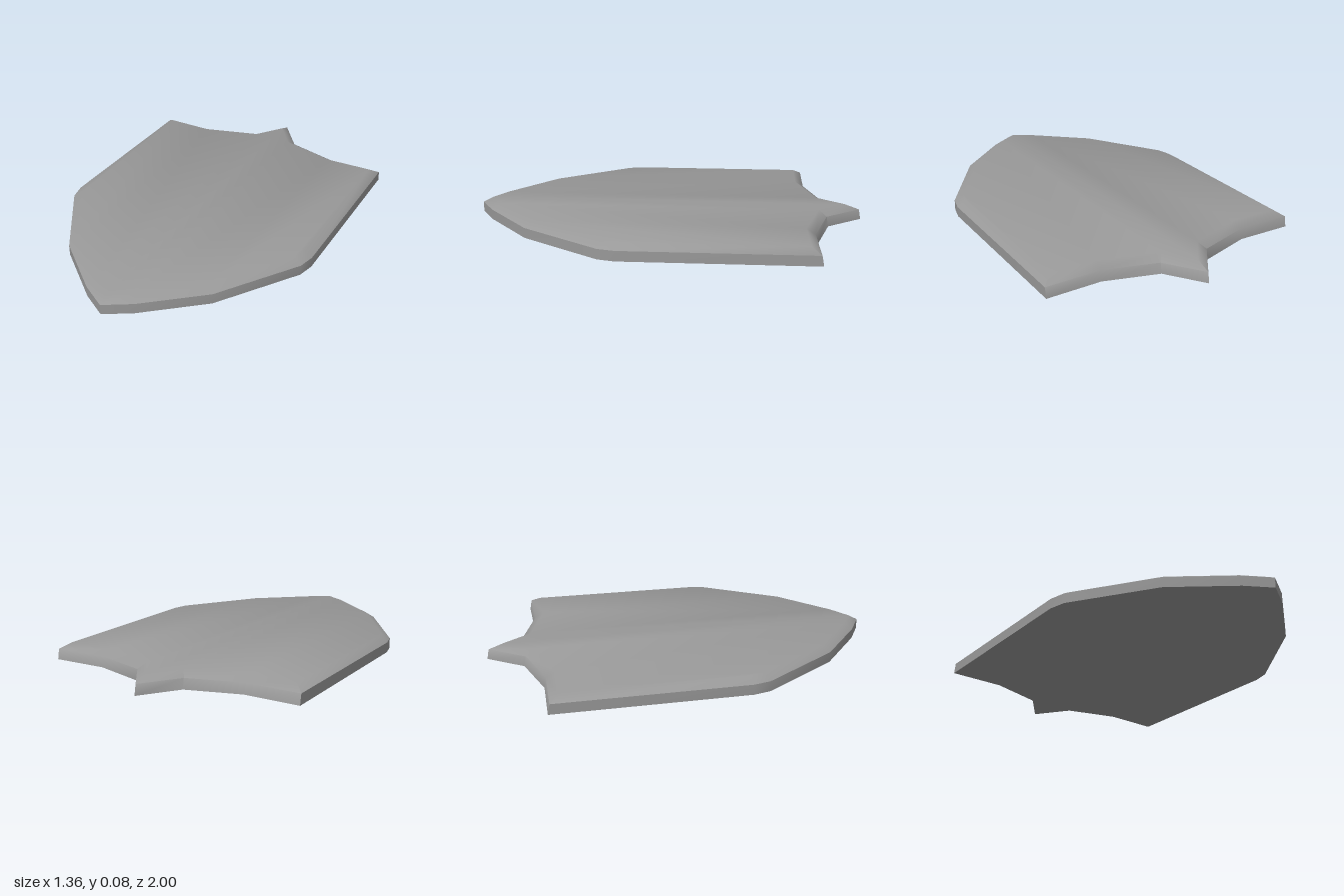
import * as THREE from 'three';
import { toCreasedNormals } from 'three/addons/utils/BufferGeometryUtils.js';

// Half outline as [x, z], from the front tip round the left side to the back spike
const HALF = [
  [0, 1], [0.13, 0.92], [0.4, 0.69], [0.66, 0.295], [0.68, 0.21],
  [0.68, -0.745], [0.4, -0.74], [0.13, -0.82], [0, -1],
];
const BEVEL = 0.045, EDGE_Y = 0.052, TOP_Y = 0.08;

// Mitred inward offset of a closed counter-clockwise outline
function inset(points, d) {
  const n = points.length;
  return points.map((p, i) => {
    const a = p.clone().sub(points[(i + n - 1) % n]).normalize();
    const b = points[(i + 1) % n].clone().sub(p).normalize();
    const na = new THREE.Vector2(-a.y, a.x), nb = new THREE.Vector2(-b.y, b.x);
    const k = d / (1 + na.dot(nb));
    return p.clone().addScaledVector(na.add(nb), k);
  });
}

function shieldGeometry() {
  // Plan points use (x, -z), so the outline runs counter-clockwise from above
  const mirrored = HALF.slice(1, -1).reverse().map(([x, z]) => [-x, z]);
  const base = [...HALF, ...mirrored].map(([x, z]) => new THREE.Vector2(x, -z));
  // The back walls lean in slightly
  const edge = base.map((p) => new THREE.Vector2(p.x, p.y > 0.5 ? p.y - 0.01 : p.y));
  const top = inset(edge, BEVEL);

  const rings = [[base, 0], [edge, EDGE_Y], [top, TOP_Y]];
  const n = base.length;
  const position = [], index = [];
  for (const [ring, y] of rings) for (const p of ring) position.push(p.x, y, -p.y);

  // Side wall and bevel
  for (let r = 0; r < 2; r++) {
    for (let i = 0; i < n; i++) {
      const a = r * n + i, b = r * n + (i + 1) % n;
      index.push(a, b, b + n, a, b + n, a + n);
    }
  }

  // Top face and underside: front-to-back columns, mirrored across the middle
  const columns = [[3, 4, 5]];
  for (let i = 0; i < 3; i++) columns.push([i, i + 1, 7 - i], [i, 7 - i, 8 - i]);
  const mirror = (i) => (n - i) % n;
  for (const [a, b, c] of columns) {
    for (const [p, q, r] of [[a, b, c], [mirror(c), mirror(b), mirror(a)]]) {
      index.push(2 * n + p, 2 * n + q, 2 * n + r, p, r, q);
    }
  }

  const geometry = new THREE.BufferGeometry();
  geometry.setAttribute('position', new THREE.Float32BufferAttribute(position, 3));
  geometry.setIndex(index);
  return toCreasedNormals(geometry, THREE.MathUtils.degToRad(54));
}

export function createModel() {
  const group = new THREE.Group();
  group.name = 'shield';
  const plate = new THREE.Mesh(
    shieldGeometry(),
    new THREE.MeshStandardMaterial({ color: 0x999999 }),
  );
  plate.name = 'shieldPlate';
  group.add(plate);
  return group;
}
